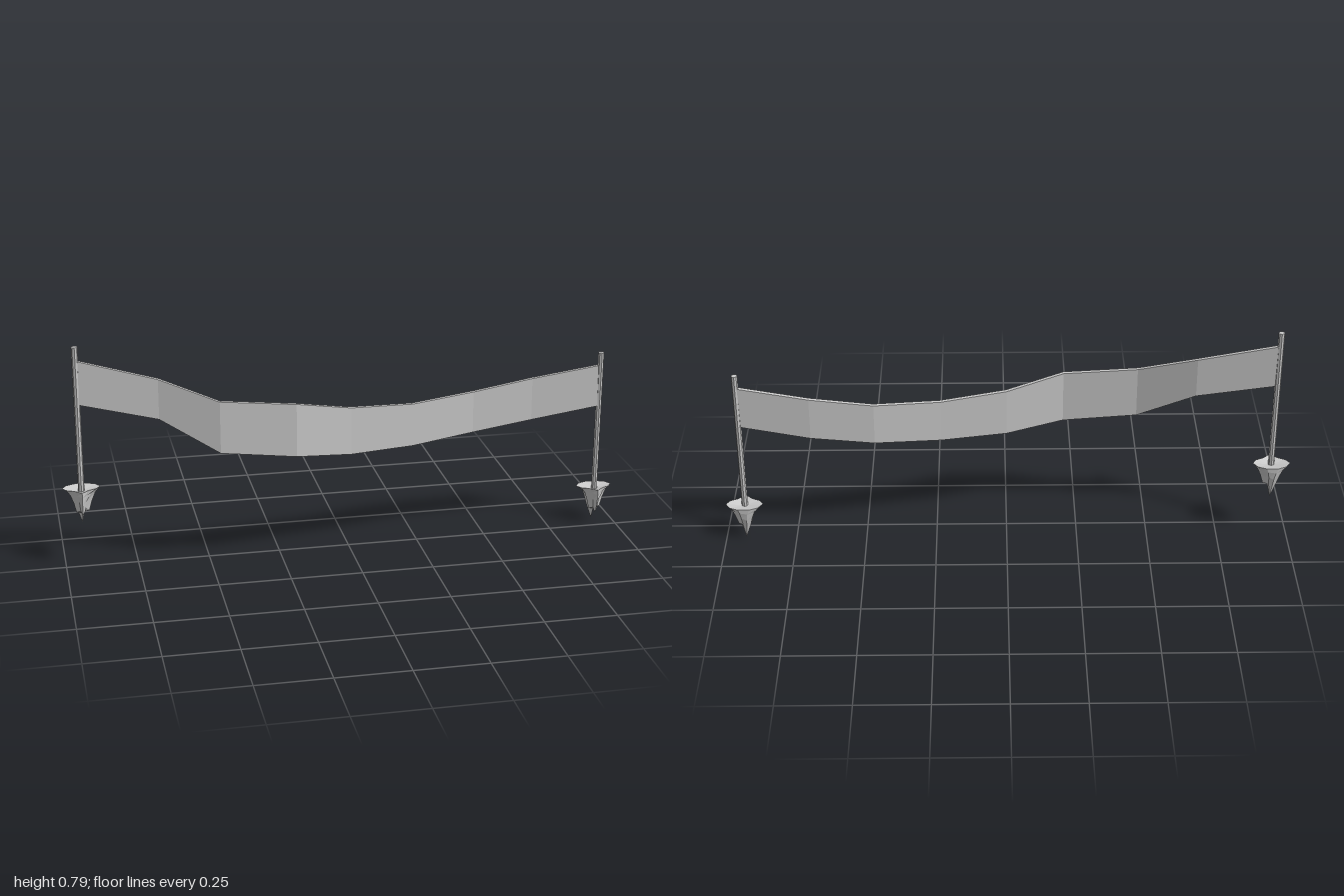
import * as THREE from 'three';

const material = new THREE.MeshStandardMaterial({ color: 0xcccccc, flatShading: true });

// Skin a list of rings, each running counter-clockwise about the direction of travel.
function loft(rings, capped) {
  const n = rings[0].length, index = [];
  for (let i = 0; i < rings.length - 1; i++) {
    for (let j = 0; j < n; j++) {
      const k = (j + 1) % n, a = i * n + j, b = i * n + k;
      index.push(a, b, b + n, a, b + n, a + n);
    }
  }
  if (capped) {
    const e = (rings.length - 1) * n;
    for (let j = 1; j < n - 1; j++) index.push(0, j + 1, j, e, e + j, e + j + 1);
  }
  const g = new THREE.BufferGeometry();
  g.setAttribute('position', new THREE.Float32BufferAttribute(rings.flat(2), 3));
  g.setIndex(index);
  g.computeVertexNormals();
  return g;
}

function mesh(name, geometry) {
  const m = new THREE.Mesh(geometry, material);
  m.name = name;
  return m;
}

// Clod of earth: wide pointed rim, narrowing to a blade with two jagged tips.
function clodGeometry() {
  const half = [[0.025, 0.025], [0.052, 0.012], [0.066, -0.01], [0.05, -0.035], [0.02, -0.048]];
  const rim = [[0, 0.048], ...half, ...half.map(([x, z]) => [-x, z]).reverse()];
  const ring = (y, sx, sz, rough) => rim.map(([x, z], j) =>
    [x * sx * (1 + (j % 2 ? rough : -rough)), y + (j % 3 - 1) * rough * 0.03, z * sz]);
  const tips = rim.map(([, z]) =>
    z > 0.015 ? [0, -0.097, 0.018] : z > -0.02 ? [0, -0.088, 0.003] : [0, -0.134, -0.02]);
  return loft([
    tips,
    ring(-0.078, 0.32, 0.66, 0.22),
    ring(-0.045, 0.46, 0.86, 0.18),
    ring(-0.018, 0.68, 0.97, 0.08),
    ring(0, 1, 1, 0),
    rim.map(() => [0, -0.012, 0]), // dished top
  ]);
}

// Pole leaning slightly, with its clod at the foot.
function stake(name, x, y, z, top, topZ) {
  const group = new THREE.Group();
  group.name = name;
  const foot = new THREE.Vector3(x, y - 0.03, z), head = new THREE.Vector3(x, top, topZ);
  const axis = head.clone().sub(foot);
  const pole = mesh('pole', new THREE.CylinderGeometry(0.011, 0.011, axis.length(), 8));
  pole.position.copy(foot).lerp(head, 0.5);
  pole.quaternion.setFromUnitVectors(new THREE.Vector3(0, 1, 0), axis.normalize());
  const clod = mesh('clod', clodGeometry());
  clod.position.set(x, y, z);
  group.add(pole, clod);
  return group;
}

// Banner cloth: thin strip waving in depth and sagging between the poles.
function bannerGeometry() {
  const stations = [ // x, top, bottom, z
    [-0.93, 0.745, 0.59, -0.022], [-0.66, 0.675, 0.532, 0.013], [-0.46, 0.602, 0.417, 0.077],
    [-0.2, 0.58, 0.39, 0.09], [0, 0.537, 0.366, 0.042], [0.23, 0.521, 0.366, 0],
    [0.46, 0.535, 0.384, -0.045], [0.68, 0.567, 0.412, -0.056], [0.928, 0.605, 0.452, -0.043],
  ];
  return loft(stations.map(([x, top, bottom, z], i) => {
    const a = stations[Math.max(i - 1, 0)], b = stations[Math.min(i + 1, stations.length - 1)];
    const n = new THREE.Vector2(a[3] - b[3], b[0] - a[0]).setLength(0.007);
    return [
      [x - n.x, bottom, z - n.y], [x - n.x, top, z - n.y],
      [x + n.x, top, z + n.y], [x + n.x, bottom, z + n.y],
    ];
  }), true);
}

export function createModel() {
  const model = new THREE.Group();
  model.name = 'bannerOnStakes';
  model.add(
    stake('rightStake', -0.934, 0.282, -0.03, 0.795, -0.02),
    stake('leftStake', 0.93, 0.137, -0.05, 0.652, -0.041),
    mesh('banner', bannerGeometry()),
  );
  return model;
}
